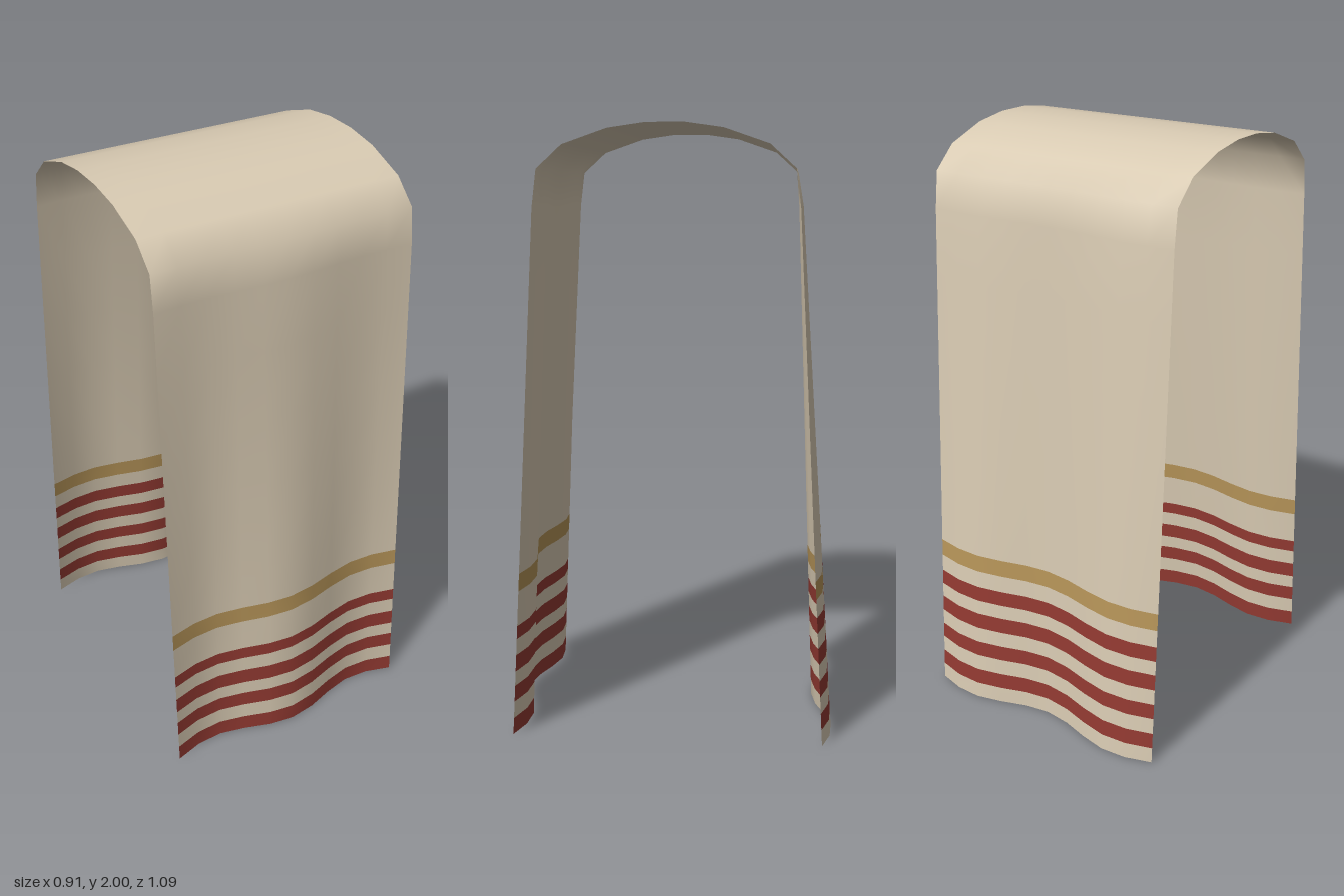
import * as THREE from 'three';

const material = (name, color) =>
  new THREE.MeshStandardMaterial({ name, color, side: THREE.DoubleSide });

const HALF_WIDTH = 0.453;
const COLUMNS = 10;

// Heights where the colour changes on a hanging end, from the hem upward.
const FRONT_CUTS = [0, 0.057, 0.115, 0.17, 0.22, 0.277, 0.333, 0.378, 0.497, 0.557];
const BACK_CUTS = [0, 0.055, 0.111, 0.168, 0.222, 0.277, 0.333, 0.384, 0.437, 0.497, 0.557];
const PLAIN_HEIGHTS = [0.8, 1.04, 1.28, 1.52, 1.74];

// Fold over the top: [distance from the middle, height].
const ARCH = [[0.403, 1.86], [0.322, 1.934], [0.18, 1.983], [0.06, 2]];

// One hanging end, as rows from hem to shoulder: { y, z, wave }.
function hangingRows(cuts, side) {
  return [...cuts, ...PLAIN_HEIGHTS].map((y) => {
    const t = 1 - y / 1.74;
    return { y, z: side * (0.418 + 0.096 * t), wave: 0.0075 + 0.0255 * t };
  });
}

const archRows = (side) =>
  ARCH.map(([z, y], i) => ({ y, z: side * z, wave: i === 0 ? 0.002 : 0 }));

// Colour index of each band counted from the hem: 0 cloth, 1 red, 2 gold.
function bandColour(band, cuts, firstRed) {
  if (band === cuts.length - 2) return 2;
  return band < cuts.length - 2 && band % 2 === firstRed ? 1 : 0;
}

// Cloth sheet running from the back hem, over the top, to the front hem.
function clothGeometry() {
  const rows = [
    ...hangingRows(BACK_CUTS, -1), ...archRows(-1),
    ...archRows(1).reverse(), ...hangingRows(FRONT_CUTS, 1).reverse(),
  ];
  const positions = [];
  for (const { y, z, wave } of rows) {
    for (let i = 0; i <= COLUMNS; i++) {
      const x = HALF_WIDTH * (2 * i / COLUMNS - 1);
      positions.push(x, y, z + wave * Math.cos(1.5 * Math.PI * x / HALF_WIDTH));
    }
  }

  const geometry = new THREE.BufferGeometry();
  const indices = [];
  const last = rows.length - 2;
  for (let r = 0; r <= last; r++) {
    const start = indices.length;
    for (let i = 0; i < COLUMNS; i++) {
      const a = r * (COLUMNS + 1) + i;
      const b = a + COLUMNS + 1;
      indices.push(a, b, a + 1, b, b + 1, a + 1);
    }
    const colour = r < rows.length / 2
      ? bandColour(r, BACK_CUTS, 1)
      : bandColour(last - r, FRONT_CUTS, 0);
    geometry.addGroup(start, indices.length - start, colour);
  }
  geometry.setAttribute('position', new THREE.Float32BufferAttribute(positions, 3));
  geometry.setIndex(indices);
  geometry.computeVertexNormals();
  return geometry;
}

export function createModel() {
  const group = new THREE.Group();
  group.name = 'drapedCloth';
  const cloth = new THREE.Mesh(clothGeometry(), [
    material('cream cloth', 0xd9cbb3),
    material('red stripe', 0x933a32),
    material('gold stripe', 0xb79559),
  ]);
  cloth.name = 'stripedCloth';
  group.add(cloth);
  return group;
}
